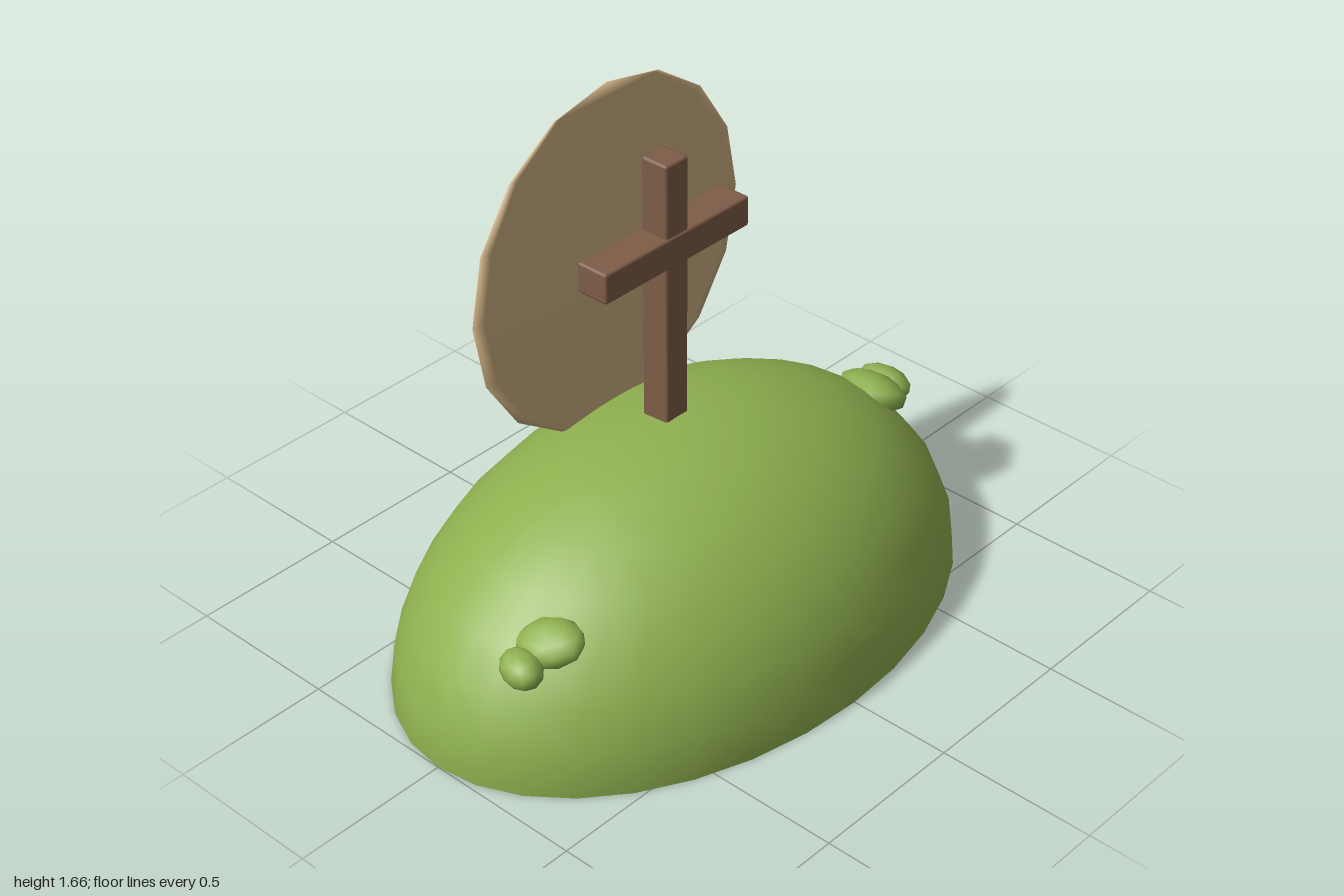
import * as THREE from 'three';
import { RoundedBoxGeometry } from 'three/addons/geometries/RoundedBoxGeometry.js';
import { mergeVertices } from 'three/addons/utils/BufferGeometryUtils.js';

const material = (name, color, side = THREE.FrontSide) => {
  const m = new THREE.MeshStandardMaterial({ color, side });
  m.name = name;
  return m;
};

export function createModel() {
  const grass = material('grass green', 0x8fb04f, THREE.DoubleSide);
  const wood = material('brown wood', 0x7f5d48);
  const tan = material('pale tan', 0xd0b284);
  const model = new THREE.Group();
  model.name = 'hillWithCross';

  const add = (name, geometry, mat, position, parent = model) => {
    const mesh = new THREE.Mesh(geometry, mat);
    mesh.name = name;
    mesh.position.set(...position);
    parent.add(mesh);
    return mesh;
  };

  // Hill: a hollow half ellipsoid, open underneath
  const dome = new THREE.SphereGeometry(1, 32, 8, 0, Math.PI * 2, 0, Math.PI / 2);
  dome.scale(1, 0.675, 0.675);
  add('hill', dome, grass, [0, 0, 0]);

  // Sun disc: a very flat lens sunk into the hill
  const lens = new THREE.SphereGeometry(1, 16, 8);
  lens.scale(0.54, 0.55, 0.013);
  add('sunDisc', lens, tan, [0, 1.11, -0.276]);

  // Cross
  const cross = new THREE.Group();
  cross.name = 'cross';
  model.add(cross);
  add('crossPost', new RoundedBoxGeometry(0.09, 0.87, 0.094, 1, 0.008), wood, [0, 1.075, -0.06], cross);
  add('crossBeam', new RoundedBoxGeometry(0.585, 0.096, 0.108, 1, 0.008), wood, [0, 1.233, -0.061], cross);

  // Lumpy bushes: coarse blobs lying along the slope
  const blob = () => {
    const g = new THREE.IcosahedronGeometry(1, 1);
    g.deleteAttribute('uv');
    g.deleteAttribute('normal');
    const merged = mergeVertices(g);
    merged.computeVertexNormals();
    return merged;
  };
  const bushes = [
    ['leftBush', [
      { at: [0.795, 0.41, 0.07], size: [0.094, 0.056, 0.12], turn: [0, -0.12, -0.5] },
      { at: [0.9, 0.37, 0.03], size: [0.065, 0.054, 0.092], turn: [0, 0.15, -0.4] },
    ]],
    ['rightBush', [
      { at: [-0.745, 0.4, 0.2], size: [0.08, 0.05, 0.105], turn: [0, 0.45, 0.5] },
      { at: [-0.842, 0.36, 0.185], size: [0.058, 0.05, 0.075], turn: [0, -0.25, 0.3] },
    ]],
  ];
  for (const [name, lumps] of bushes) {
    const bush = new THREE.Group();
    bush.name = name;
    model.add(bush);
    lumps.forEach(({ at, size, turn }, i) => {
      const mesh = add(i ? 'lowerLump' : 'upperLump', blob(), grass, at, bush);
      mesh.scale.set(...size);
      mesh.rotation.set(turn[0], turn[1], turn[2], 'ZYX');
    });
  }
  return model;
}
